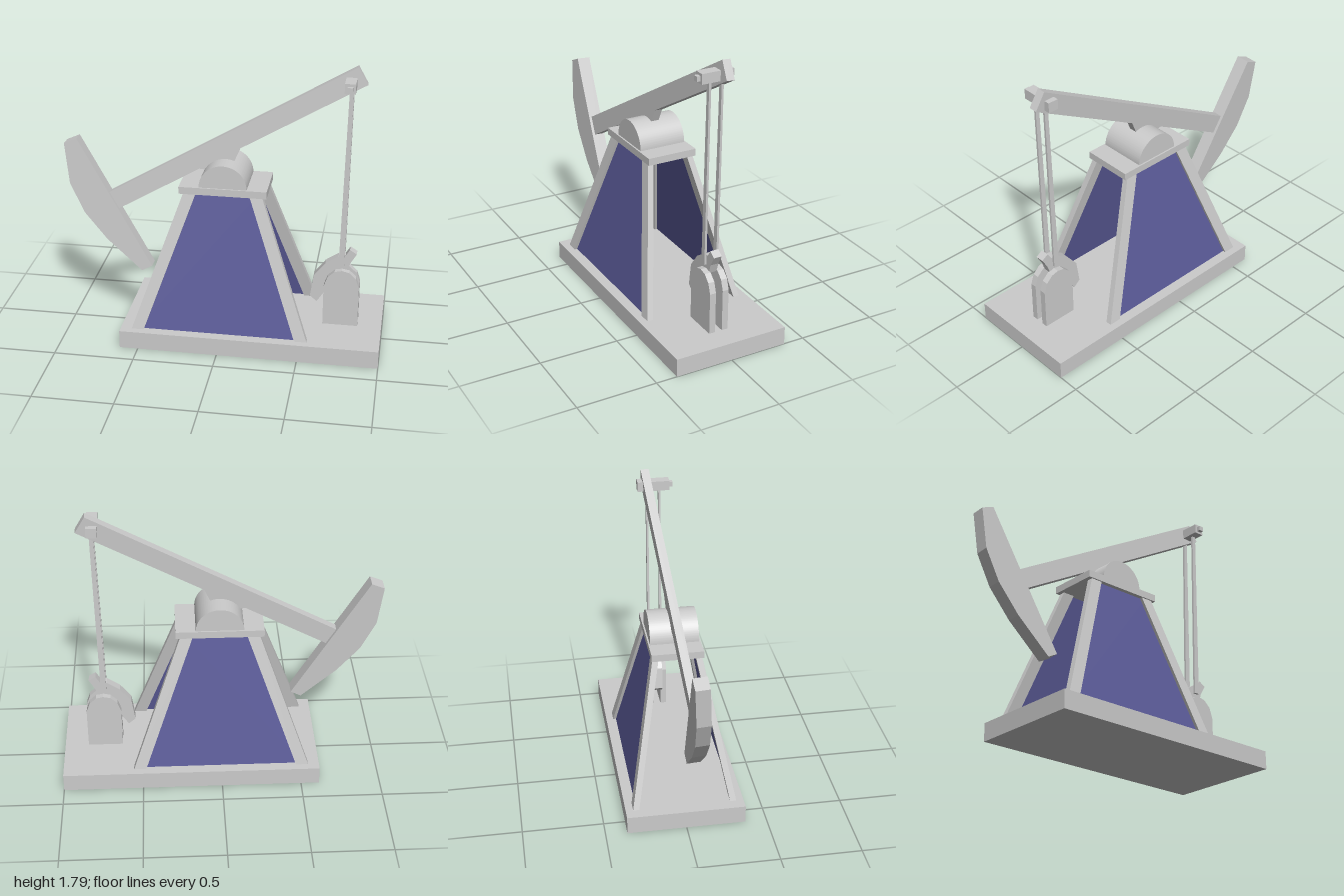
import * as THREE from 'three';
import { toCreasedNormals } from 'three/addons/utils/BufferGeometryUtils.js';

const grey = new THREE.MeshStandardMaterial({ color: 0xcccccc });
const blue = new THREE.MeshStandardMaterial({ color: 0x5c5c9a, side: THREE.DoubleSide });

function add(parent, name, geometry, material = grey) {
  const mesh = new THREE.Mesh(geometry, material);
  mesh.name = name;
  parent.add(mesh);
  return mesh;
}

// Box given by its extents on each axis
function block(x0, x1, y0, y1, z0, z1) {
  return new THREE.BoxGeometry(x1 - x0, y1 - y0, z1 - z0)
    .translate((x0 + x1) / 2, (y0 + y1) / 2, (z0 + z1) / 2);
}

// Flat plate cut from an outline in x and y, between two depths
function plate(points, z0, z1) {
  const shape = new THREE.Shape(points.map(([x, y]) => new THREE.Vector2(x, y)));
  return new THREE.ExtrudeGeometry(shape, { depth: z1 - z0, bevelEnabled: false }).translate(0, 0, z0);
}

const DECK = 0.115, TOP = 0.99, CX = 0.005;

// Leaning part: a box sheared so that its ends sit at two given spots
function leaning(w, d, [xb, zb], [xt, zt]) {
  const g = new THREE.BoxGeometry(w, TOP - DECK, d);
  const p = g.attributes.position;
  for (let i = 0; i < p.count; i++) {
    const top = p.getY(i) > 0;
    p.setXYZ(i, p.getX(i) + (top ? xt : xb), top ? TOP : DECK, p.getZ(i) + (top ? zt : zb));
  }
  g.computeVertexNormals();
  return g;
}

function createTower() {
  const tower = new THREE.Group();
  tower.name = 'tower';
  tower.position.x = CX;
  for (const sz of [1, -1]) {
    for (const sx of [1, -1]) {
      add(tower, 'leg', leaning(0.077, 0.038, [sx * 0.512, sz * 0.302], [sx * 0.205, sz * 0.132]));
    }
    // Thin coloured sheet between the two legs of this side
    const sheet = new THREE.PlaneGeometry(1, TOP - DECK);
    const p = sheet.attributes.position;
    for (let i = 0; i < p.count; i++) {
      const top = p.getY(i) > 0;
      p.setXYZ(i, Math.sign(p.getX(i)) * (top ? 0.205 : 0.512), top ? TOP : DECK, sz * (top ? 0.132 : 0.302));
    }
    sheet.computeVertexNormals();
    add(tower, 'sidePanel', sheet, blue);
  }
  add(tower, 'topPlate', block(-0.27, 0.27, TOP, 1.035, -0.16, 0.16));

  // Half-round saddle bearing
  const half = new THREE.Shape();
  half.absarc(0, 0, 0.147, 0, Math.PI);
  half.closePath();
  const saddle = new THREE.ExtrudeGeometry(half, { depth: 0.3, bevelEnabled: false, curveSegments: 40 })
    .translate(0, 1.035, -0.15);
  add(tower, 'saddleBearing', toCreasedNormals(saddle, 0.5));
  return tower;
}

function createBeam() {
  const px = 0.06, py = 1.303;
  const walking = new THREE.Group();
  walking.name = 'walkingBeam';
  walking.position.set(px, py, -0.005);
  walking.rotation.set(-0.058, 0.016, 0); // slight lean to one side

  const arm = new THREE.Group();
  arm.name = 'beamArm';
  arm.rotation.z = Math.PI / 6;
  walking.add(arm);
  add(arm, 'beam', block(-0.87, 0.87, -0.06, 0.06, -0.026, 0.026));
  add(arm, 'pivotBracket', plate([[-0.285, -0.06], [-0.2, -0.12], [-0.075, -0.12], [0.005, -0.06]], -0.026, 0.026));

  // Curved head on the low end of the beam
  const head = [[-1, 1.23], [-0.97, 0.97], [-0.88, 0.78], [-0.74, 0.61], [-0.52, 0.41], [-0.455, 0.445], [-0.92, 1.265]];
  add(walking, 'beamHead', plate(head.map(([x, y]) => [x - px, y - py]), -0.043, 0.043));
  return walking;
}

function createDrive() {
  const drive = new THREE.Group();
  drive.name = 'drive';

  // Cross bar through the high end of the beam, with its pin
  add(drive, 'crossBar', block(0.715, 0.78, 1.665, 1.727, -0.1, 0.105));
  add(drive, 'crossBarPin', block(0.732, 0.764, 1.68, 1.711, 0.105, 0.128));

  // Connecting rods and the posts below them
  const rod = [[0.717, 0.525], [0.752, 0.525], [0.766, 1.68], [0.742, 1.68]];
  const post = [[0.63, DECK], [0.85, DECK], [0.85, 0.38], [0.828, 0.445], [0.785, 0.485],
    [0.74, 0.495], [0.695, 0.485], [0.652, 0.445], [0.63, 0.38]];
  for (const s of [1, -1]) {
    const zr = 0.003 + s * 0.04, zp = 0.003 + s * 0.043;
    add(drive, 'connectingRod', plate(rod, zr - 0.007, zr + 0.007));
    add(drive, 'crankPost', plate(post, zp - 0.02, zp + 0.02));
  }

  // Bent crank arm between the posts
  add(drive, 'crankArm', plate([[0.543, 0.289], [0.586, 0.251], [0.628, 0.316], [0.66, 0.4], [0.72, 0.45],
    [0.77, 0.475], [0.789, 0.535], [0.826, 0.599], [0.783, 0.626], [0.757, 0.583], [0.714, 0.578],
    [0.634, 0.524], [0.564, 0.433]], -0.023, 0.03));
  return drive;
}

export function createModel() {
  const model = new THREE.Group();
  model.name = 'pumpjack';
  add(model, 'base', block(-0.615, 1, 0, DECK, -0.367, 0.367));
  model.add(createTower(), createBeam(), createDrive());
  return model;
}
